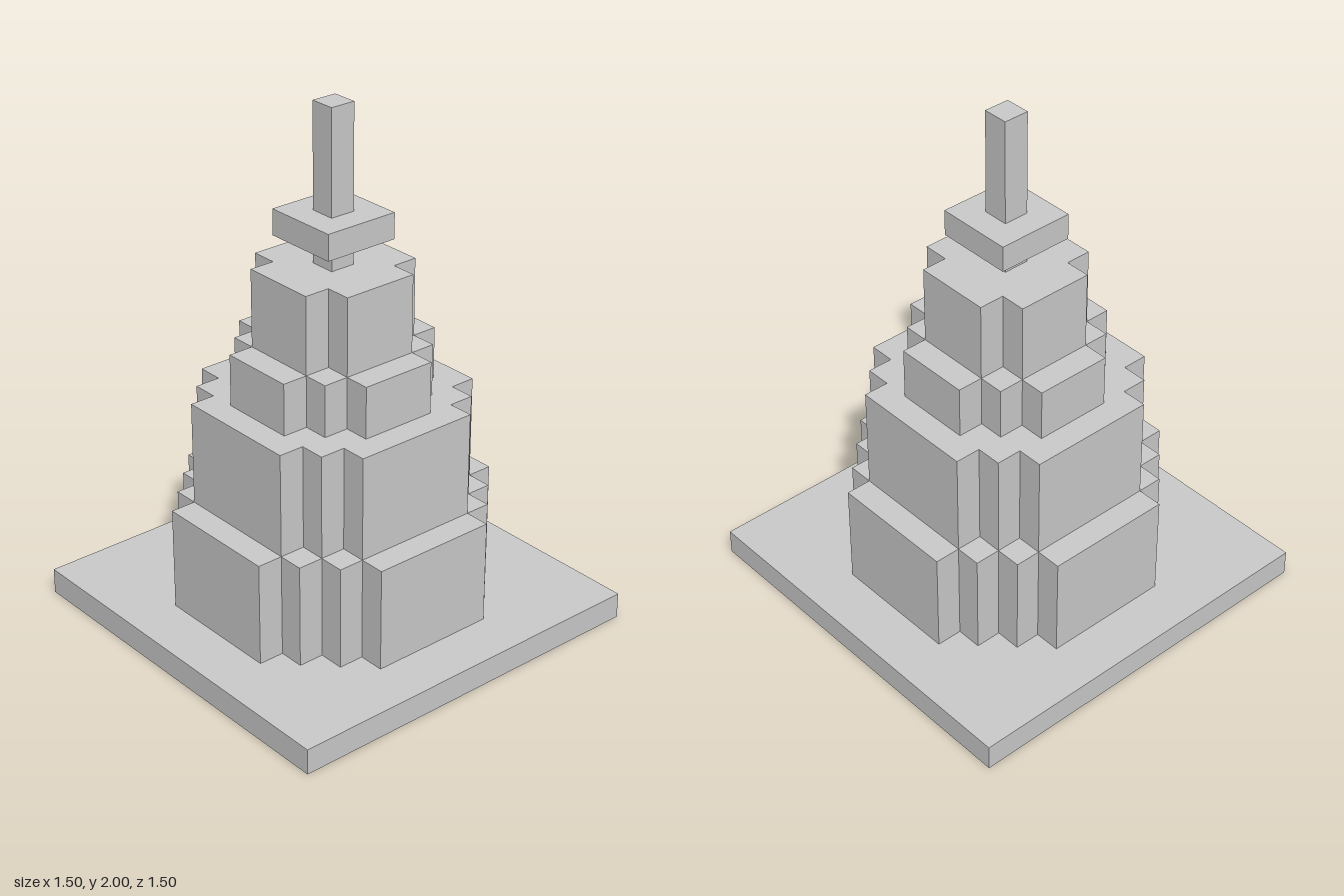
import * as THREE from 'three';

const material = new THREE.MeshStandardMaterial({ color: 0xcccccc, flatShading: true });

// Square block centred on the axis, from y0 to y1.
function block(name, half, y0, y1) {
  const mesh = new THREE.Mesh(new THREE.BoxGeometry(half * 2, y1 - y0, half * 2), material);
  mesh.position.y = (y0 + y1) / 2;
  mesh.name = name;
  return mesh;
}

// Tier with stair-stepped corners: steps of 0.1 from (outer, inner) to (inner, outer).
function steppedTier(name, outer, inner, y0, y1) {
  const steps = Math.round((outer - inner) / 0.1);
  const corner = [];
  for (let i = 0; i <= steps; i++) {
    corner.push([outer - i * 0.1, inner + i * 0.1]);
    if (i < steps) corner.push([outer - (i + 1) * 0.1, inner + i * 0.1]);
  }
  // Turn the corner a quarter four times to close the outline.
  const points = [];
  for (let q = 0; q < 4; q++) {
    for (const [x, y] of corner) {
      const [px, py] = [[x, y], [-y, x], [-x, -y], [y, -x]][q];
      points.push(new THREE.Vector2(px, py));
    }
  }
  const geometry = new THREE.ExtrudeGeometry(new THREE.Shape(points), { depth: y1 - y0, bevelEnabled: false });
  geometry.rotateX(-Math.PI / 2);
  const mesh = new THREE.Mesh(geometry, material);
  mesh.position.y = y0;
  mesh.name = name;
  return mesh;
}

export function createModel() {
  const tower = new THREE.Group();
  tower.name = 'steppedTower';
  tower.add(
    block('basePlate', 0.75, 0, 0.1),
    // Four shrinking tiers
    steppedTier('lowerTier', 0.55, 0.25, 0.1, 0.5),
    steppedTier('middleTier', 0.45, 0.25, 0.5, 0.9),
    steppedTier('upperTier', 0.35, 0.15, 0.9, 1.1),
    steppedTier('topTier', 0.25, 0.15, 1.1, 1.4),
    // Spire with its collar
    block('spireNeck', 0.05, 1.4, 1.5),
    block('spireCollar', 0.15, 1.5, 1.6),
    block('spire', 0.05, 1.6, 2)
  );
  return tower;
}
